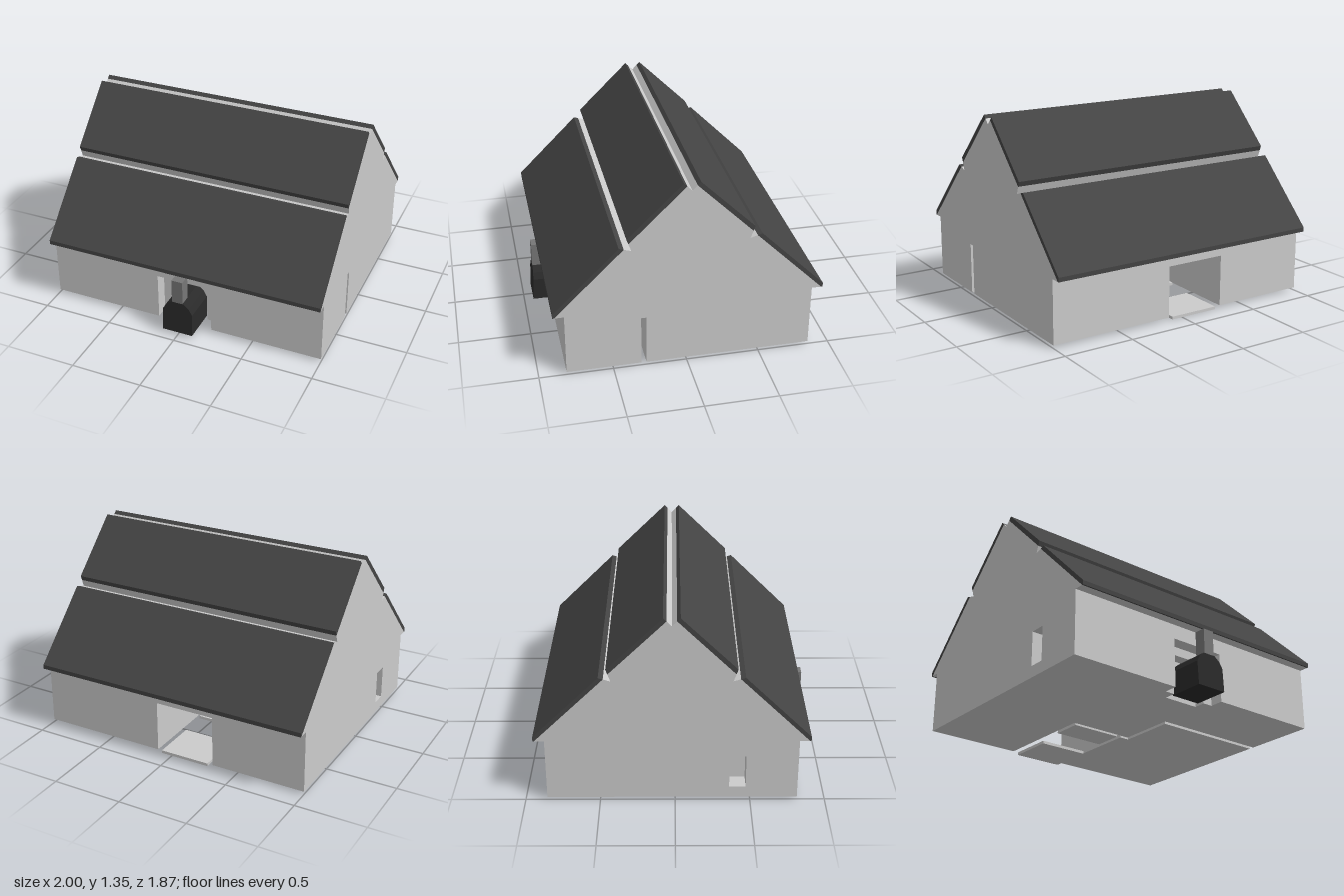
import * as THREE from 'three';

const grey = new THREE.MeshStandardMaterial({ color: 0xcccccc });
const tile = new THREE.MeshStandardMaterial({ color: 0x444444 });
const iron = new THREE.MeshStandardMaterial({ color: 0x2a2a2a });

// Plan outline given as [x, z], raised from y0 to y1
function raise(points, y0, y1) {
  const shape = new THREE.Shape(points.map(([x, z]) => new THREE.Vector2(x, -z)));
  return new THREE.ExtrudeGeometry(shape, { depth: y1 - y0, bevelEnabled: false })
    .rotateX(-Math.PI / 2).translate(0, y0, 0);
}

// Side profile given as [z, y], run along x with a given width
function run(points, width) {
  const shape = new THREE.Shape(points.map(([z, y]) => new THREE.Vector2(-z, y)));
  return new THREE.ExtrudeGeometry(shape, { depth: width, bevelEnabled: false })
    .rotateY(Math.PI / 2).translate(-width / 2, 0, 0);
}

function add(parent, name, geometry, material = grey) {
  const mesh = new THREE.Mesh(geometry, material);
  mesh.name = name;
  parent.add(mesh);
  return mesh;
}

function box(parent, name, [x0, x1], [y0, y1], [z0, z1], material = grey) {
  const g = new THREE.BoxGeometry(x1 - x0, y1 - y0, z1 - z0);
  g.translate((x0 + x1) / 2, (y0 + y1) / 2, (z0 + z1) / 2);
  return add(parent, name, g, material);
}

// Front wing outline, with optional hearth niche and side window cut into it
function wingOutline(niche, slit) {
  const front = {
    none: [],
    shallow: [[-0.2, 0.815], [-0.2, 0.72], [0.2, 0.72], [0.2, 0.815]],
    deep: [[-0.2, 0.815], [-0.2, 0.72], [-0.13, 0.72], [-0.13, 0.64],
      [0.13, 0.64], [0.13, 0.72], [0.2, 0.72], [0.2, 0.815]],
  }[niche];
  const side = slit ? [[-1, 0.36], [-0.88, 0.36], [-0.88, 0.47], [-1, 0.47]] : [];
  return [[-1, -0.855], ...side, [-1, 0.815], ...front, [1, 0.815],
    [1, 0.31], [0.15, 0.31], [0.15, -0.1], [-0.32, -0.1], [-0.32, -0.855]];
}

function buildWalls() {
  const walls = new THREE.Group();
  walls.name = 'walls';
  // Front wing in courses, so the niche and window have their own heights
  [
    [0.02, 0.1, 'deep', false],
    [0.1, 0.3, 'deep', true],
    [0.3, 0.34, 'shallow', true],
    [0.34, 0.36, 'shallow', false],
    [0.36, 0.38, 'none', false],
  ].forEach(([y0, y1, niche, slit]) => add(walls, 'frontWing', raise(wingOutline(niche, slit), y0, y1)));

  // Back room, set off from the front wing by a narrow joint
  add(walls, 'backRoom', raise([[1, 0.275], [0.18, 0.275], [0.18, -0.13], [0.11, -0.13],
    [0.11, -0.855], [1, -0.855]], 0.02, 0.38));

  // Entrance hall floor and doorstep
  box(walls, 'hallFloor', [-0.29, 0.08], [0.02, 0.04], [-0.34, -0.13]);
  box(walls, 'doorstep', [-0.28, 0.08], [0, 0.02], [-0.855, -0.53]);

  // Band above the rooms that carries the roof
  box(walls, 'wallBand', [-1, 1], [0.38, 0.46], [-0.855, 0.815]);
  return walls;
}

function buildRoof() {
  const roof = new THREE.Group();
  roof.name = 'roof';
  roof.position.z = -0.02;
  add(roof, 'gable', run([[-0.835, 0.46], [0.835, 0.46], [0, 1.295]], 2));

  // Each slope has two slabs, each with a grey base and a dark covering
  const layers = [
    ['lowerSlab', [[0.835, 0.46], [0.9, 0.46], [0.438, 0.92], [0.39, 0.905]], grey],
    ['lowerTiles', [[0.9, 0.46], [0.91, 0.46], [0.91, 0.49], [0.47, 0.93], [0.438, 0.92]], tile],
    ['upperSlab', [[0.39, 0.905], [0.408, 0.956], [0.033, 1.328], [0, 1.295]], grey],
    ['upperTiles', [[0.408, 0.956], [0.42, 0.99], [0.055, 1.35], [0.033, 1.328]], tile],
  ];
  for (const side of [1, -1]) {
    for (const [name, points, material] of layers) {
      add(roof, name, run(points.map(([z, y]) => [side * z, y]), 2), material);
    }
  }
  return roof;
}

function buildStove() {
  const stove = new THREE.Group();
  stove.name = 'stove';
  // Body with sloping shoulders, leaning back slightly at the front
  const outline = new THREE.Shape([[-0.11, 0.025], [0.11, 0.025], [0.11, 0.19], [0.085, 0.235],
    [0.04, 0.27], [-0.04, 0.27], [-0.085, 0.235], [-0.11, 0.19]].map(([x, y]) => new THREE.Vector2(x, y)));
  const body = new THREE.ExtrudeGeometry(outline, { depth: 0.25, bevelEnabled: false }).translate(0, 0, 0.685);
  const p = body.attributes.position;
  for (let i = 0; i < p.count; i++) {
    if (p.getZ(i) > 0.8) p.setZ(i, 0.937 - 0.05 * (p.getY(i) - 0.025));
  }
  body.computeVertexNormals();
  add(stove, 'stoveBody', body, iron);
  box(stove, 'flue', [-0.04, 0.04], [0.26, 0.44], [0.845, 0.925],
    new THREE.MeshStandardMaterial({ color: 0x777777 }));
  return stove;
}

export function createModel() {
  const house = new THREE.Group();
  house.name = 'house';
  house.add(buildWalls(), buildRoof(), buildStove());
  return house;
}
